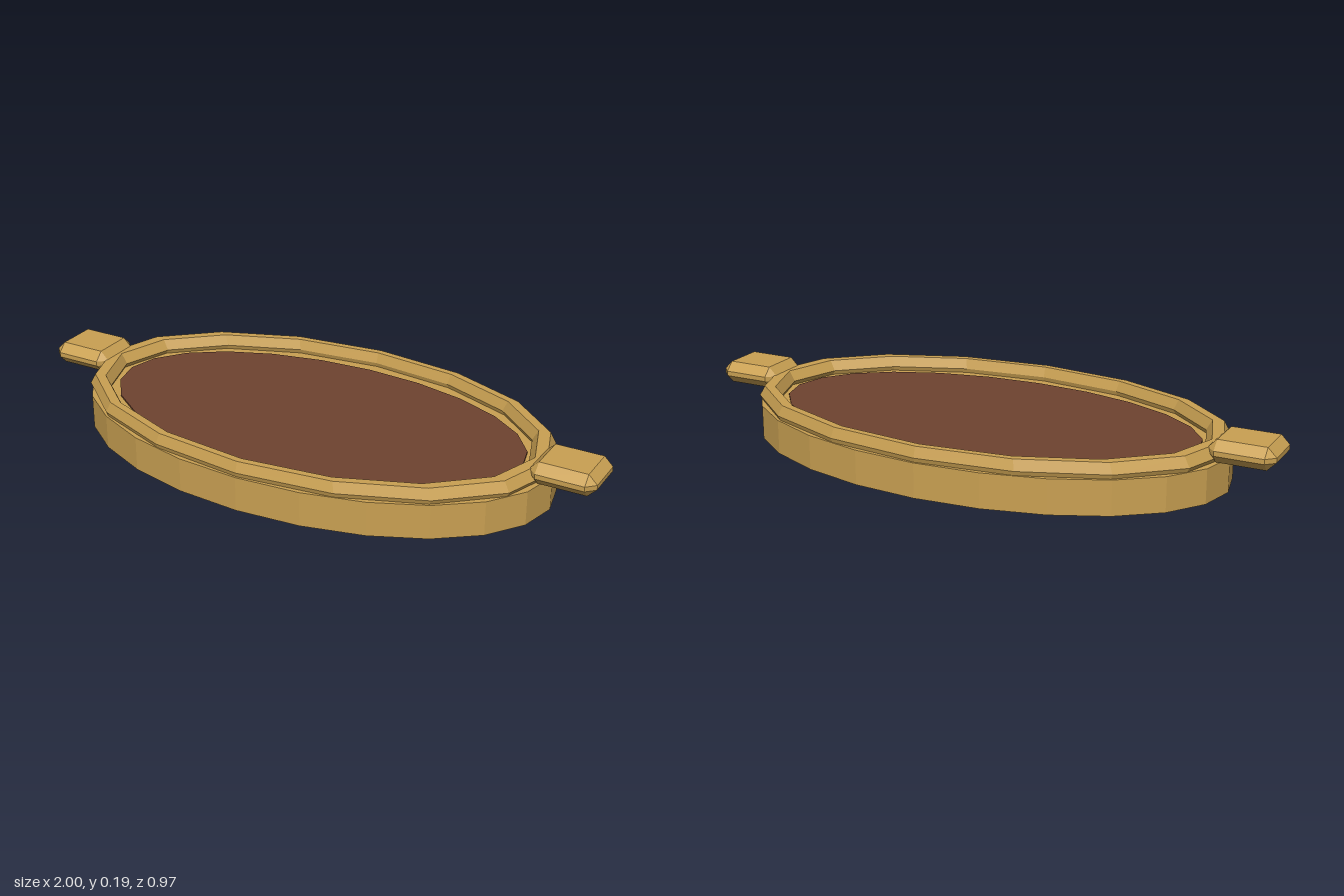
import * as THREE from 'three';
import { ConvexGeometry } from 'three/addons/geometries/ConvexGeometry.js';

const gold = new THREE.MeshStandardMaterial({ name: 'gold', color: 0xc9a052, flatShading: true });
const brown = new THREE.MeshStandardMaterial({ name: 'brown', color: 0x6e432f, flatShading: true });

// Box with every edge and corner chamfered, given half sizes and the chamfer
function chamferedBox(a, h, d, c) {
  const points = [];
  for (const x of [-1, 1]) for (const y of [-1, 1]) for (const z of [-1, 1]) {
    points.push(
      new THREE.Vector3(x * a, y * (h - c), z * (d - c)),
      new THREE.Vector3(x * (a - c), y * h, z * (d - c)),
      new THREE.Vector3(x * (a - c), y * (h - c), z * d));
  }
  return new ConvexGeometry(points);
}

export function createModel() {
  const model = new THREE.Group();
  model.name = 'ovalTray';

  const add = (name, geometry, material, x, y) => {
    const mesh = new THREE.Mesh(geometry, material);
    mesh.name = name;
    mesh.position.set(x, y, 0);
    model.add(mesh);
  };

  // Oval base
  const base = new THREE.CylinderGeometry(1, 1, 0.115, 24).scale(0.835, 1, 0.486);
  add('base', base, gold, 0, 0.0575);

  // Faceted raised rim
  const rim = new THREE.TorusGeometry(0.795, 0.04, 6, 16).rotateX(Math.PI / 2).scale(1, 1, 0.58);
  add('rim', rim, gold, 0, 0.13);

  // Thin inlay on the tray floor
  const inlay = new THREE.CylinderGeometry(1, 1, 0.008, 24).scale(0.735, 1, 0.395);
  add('inlay', inlay, brown, 0, 0.117);

  // Handles at both ends
  for (const side of [-1, 1]) {
    add(side > 0 ? 'leftHandle' : 'rightHandle',
      chamferedBox(0.108, 0.037, 0.096, 0.029), gold, side * 0.892, 0.154);
  }
  return model;
}
